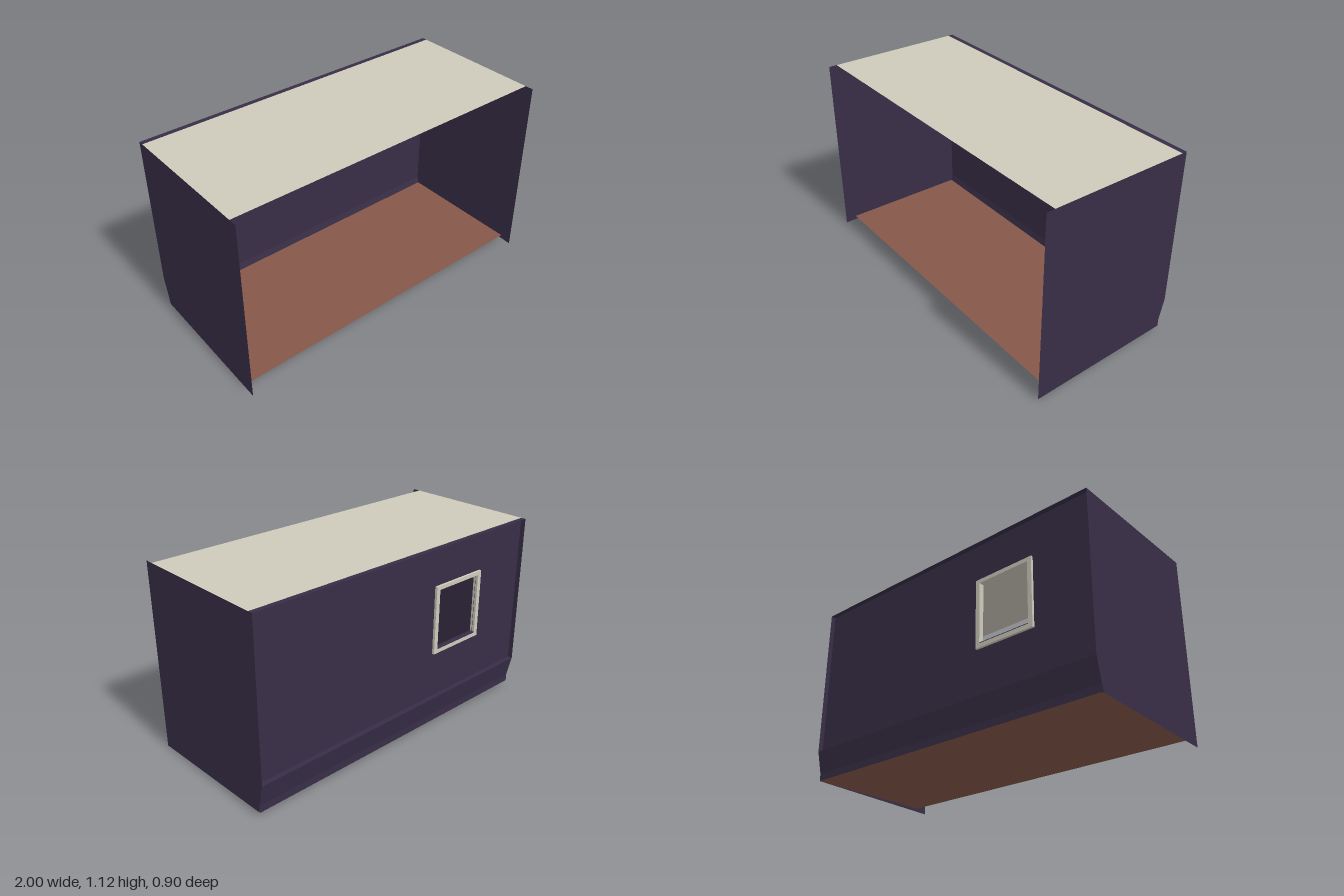
import * as THREE from 'three';

export function createModel() {
  const model = new THREE.Group();
  const mat = (name, color) => {
    const m = new THREE.MeshStandardMaterial({ color, side: THREE.DoubleSide });
    m.name = name;
    return m;
  };
  const purple = mat('dark purple', 0x382e47);
  const cream = mat('cream', 0xcdcabb);
  const brown = mat('red brown', 0x855849);

  const TOP = 1.125, BASE = 0.025, LEDGE = 0.2, BACK = -0.45, WALL = -0.42, FOOT = -0.41;

  const add = (name, geometry, material) => {
    const mesh = new THREE.Mesh(geometry, material);
    mesh.name = name;
    model.add(mesh);
    return mesh;
  };
  const rect = (x0, y0, x1, y1, Type = THREE.Shape) =>
    new Type([[x0, y0], [x1, y0], [x1, y1], [x0, y1]].map(p => new THREE.Vector2(...p)));

  // Full-width sheet between two (z, y) points
  const sheet = (name, z0, y0, z1, y1, material) => {
    const g = new THREE.PlaneGeometry(2, Math.hypot(z1 - z0, y1 - y0));
    g.rotateX(Math.atan2(z1 - z0, y1 - y0));
    g.translate(0, (y0 + y1) / 2, (z0 + z1) / 2);
    return add(name, g, material);
  };

  // Side walls, outlined in (-z, y)
  const outline = new THREE.Shape([
    [-0.45, 0], [-FOOT, BASE], [-BACK, LEDGE], [-BACK, TOP], [-0.45, TOP],
  ].map(p => new THREE.Vector2(...p)));
  for (const [name, x] of [['leftWall', 1], ['rightWall', -1]]) {
    const g = new THREE.ShapeGeometry(outline);
    g.rotateY(Math.PI / 2);
    g.translate(x, 0, 0);
    add(name, g, purple);
  }

  // Back wall with window opening
  const wall = rect(-1, BASE, 1, TOP);
  wall.holes.push(rect(-0.6, 0.505, -0.275, 0.87, THREE.Path));
  add('backWall', new THREE.ShapeGeometry(wall), purple).position.z = WALL;

  // Top lip, lower ledge and slanted skirt behind the back wall
  sheet('topLip', BACK, TOP, WALL, TOP, purple);
  sheet('lowerLedge', BACK, LEDGE, WALL, LEDGE, purple);
  sheet('lowerSkirt', BACK, LEDGE, FOOT, BASE, purple);

  // Ceiling and floor
  sheet('ceiling', WALL, TOP, 0.4, TOP, cream);
  sheet('floor', WALL, BASE, 0.38, BASE, brown);

  // Window frame standing out on both faces of the wall
  const frame = rect(-0.63, 0.48, -0.25, 0.893);
  frame.holes.push(rect(-0.603, 0.505, -0.277, 0.87, THREE.Path));
  add('windowFrame', new THREE.ExtrudeGeometry(frame, { depth: 0.03, bevelEnabled: false }), cream)
    .position.z = -0.435;

  // Dark sill inside the opening
  add('windowSill', new THREE.BoxGeometry(0.326, 0.004, 0.03), purple).position.set(-0.44, 0.507, -0.42);

  return model;
}
